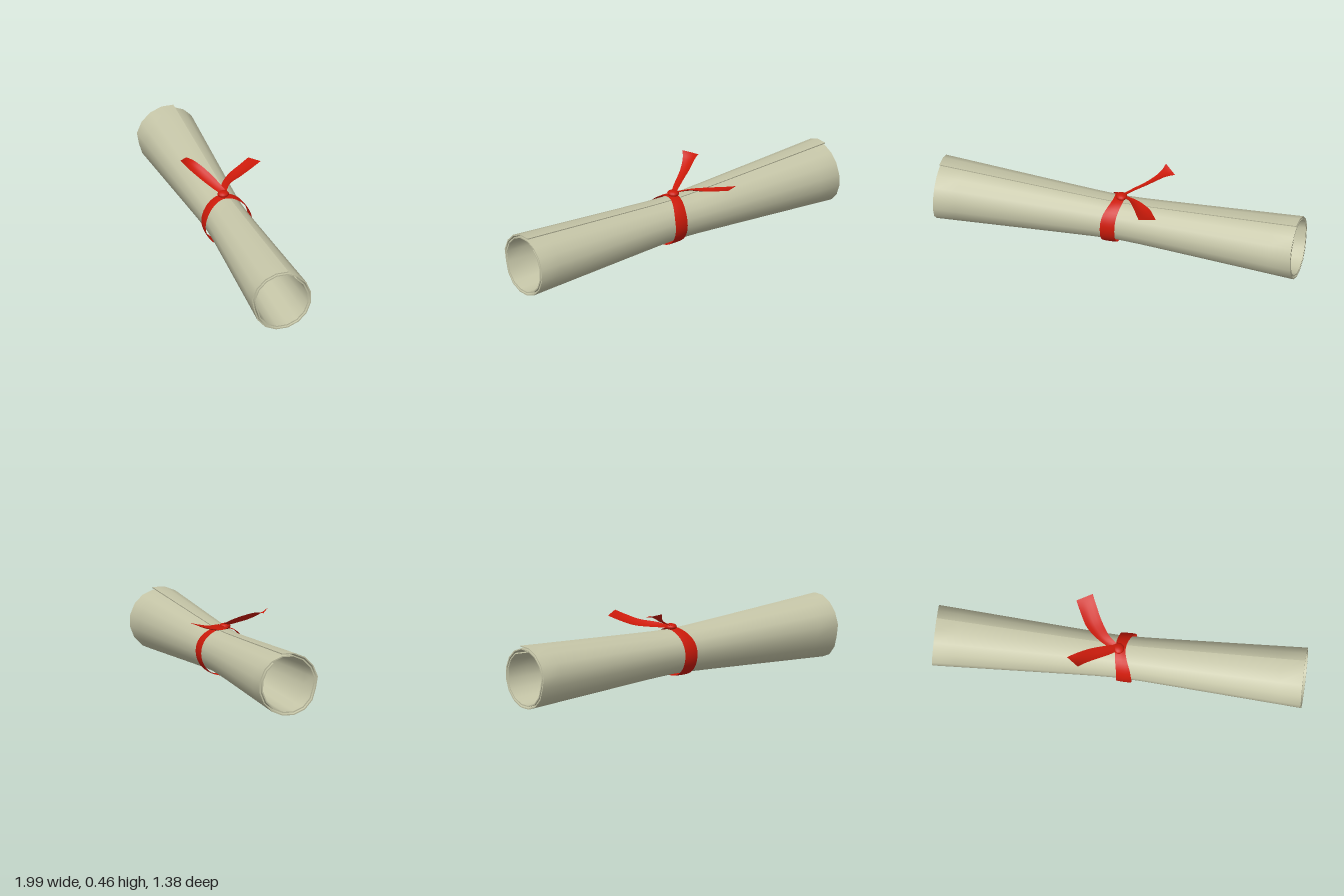
import * as THREE from 'three';

const paper = new THREE.MeshStandardMaterial({ color: 0xc6c6a8, side: THREE.DoubleSide });
const red = new THREE.MeshStandardMaterial({ color: 0xcc1a0a, side: THREE.DoubleSide });

// Smooth surface through a grid of points: point(i, j), i = 0..m, j = 0..n
function sheet(name, material, m, n, point) {
  const pos = [], index = [];
  for (let i = 0; i <= m; i++) for (let j = 0; j <= n; j++) pos.push(...point(i, j));
  for (let i = 0; i < m; i++) {
    for (let j = 0; j < n; j++) {
      const a = i * (n + 1) + j, b = a + n + 1;
      index.push(a, b, a + 1, b, b + 1, a + 1);
    }
  }
  const g = new THREE.BufferGeometry();
  g.setAttribute('position', new THREE.Float32BufferAttribute(pos, 3));
  g.setIndex(index);
  g.computeVertexNormals();
  const mesh = new THREE.Mesh(g, material);
  mesh.name = name;
  return mesh;
}

const HALF = 1.051, CENTRE_Y = 0.188, THICK = 0.007, PITCH = 0.015;
const START = -0.2, TURN = Math.PI * 2, SIDES = 16, STEPS = SIDES * 2 - 1;

// The roll is pinched at its middle
const pinch = x => 0.7 + 0.3 * (Math.sqrt(x * x + 0.006) - 0.077) / (HALF - 0.077);

// Point on the spiral; a runs from the top over the front and inward
function rollPoint(x, step, inset) {
  const a = START + (step / SIDES) * TURN;
  const local = step % SIDES;
  const crease = local === 5 ? 0.012 : local === 6 ? 0.005 : 0;
  const r = (0.187 - PITCH * step / SIDES - inset - crease) * pinch(x);
  return [x, CENTRE_Y + r * Math.cos(a), r * Math.sin(a)];
}

function makeRoll() {
  const roll = new THREE.Group();
  roll.name = 'paperRoll';
  const rows = 16, xAt = i => -HALF + 2 * HALF * i / rows;
  roll.add(sheet('outerFace', paper, rows, STEPS, (i, j) => rollPoint(xAt(i), j, 0)));
  roll.add(sheet('innerFace', paper, rows, STEPS, (i, j) => rollPoint(xAt(i), STEPS - j, THICK)));
  // Thin rims at both ends and along both free edges
  for (const x of [-HALF, HALF]) {
    roll.add(sheet('endRim', paper, 1, STEPS, (i, j) => rollPoint(x, j, i * THICK)));
  }
  for (const step of [0, STEPS]) {
    roll.add(sheet('freeEdge', paper, rows, 1, (i, j) => rollPoint(xAt(i), step, j * THICK)));
  }
  return roll;
}

// Band around the roll, drawn in narrower and sideways at the knot
function makeBand() {
  const n = 40;
  return sheet('ribbonBand', red, n, 4, (i, j) => {
    const a = TURN * i / n, top = Math.pow(Math.max(0, Math.cos(a)), 3);
    const x = 0.036 - 0.034 * top + (j / 4 - 0.5) * (0.085 - 0.025 * top);
    const bulge = 0.003 * Math.sin(Math.PI * j / 4);
    const r = 0.1365 + bulge + 0.003 * top + Math.max(0, Math.abs(x) - 0.03) * 0.04;
    return [x, CENTRE_Y + r * Math.cos(a), r * Math.sin(a)];
  });
}

// Loose ribbon end through two edge curves, bowed across its width
function makeTail(name, left, right, bow) {
  const curve = pts => new THREE.CatmullRomCurve3(pts.map(p => new THREE.Vector3(...p)));
  const a = curve(left), b = curve(right), n = 20;
  return sheet(name, red, n, 4, (i, j) => {
    const p = a.getPoint(i / n).lerp(b.getPoint(i / n), j / 4);
    p.y += bow * Math.sin(Math.PI * j / 4) * Math.sin(Math.PI * i / n);
    return p.toArray();
  });
}

export function createModel() {
  const model = new THREE.Group();
  model.name = 'tiedScroll';

  // Roll and band lie diagonally
  const scroll = new THREE.Group();
  scroll.name = 'scroll';
  scroll.rotation.y = -0.537;
  scroll.add(makeRoll(), makeBand());
  model.add(scroll);

  // Knot
  const knot = new THREE.Mesh(new THREE.SphereGeometry(1, 14, 10), red);
  knot.name = 'knot';
  knot.scale.set(0.032, 0.018, 0.034);
  knot.position.set(-0.01, 0.337, 0);
  model.add(knot);

  // Ribbon ends: one to the back, one rising to the side
  model.add(makeTail('backTail',
    [[-0.03, 0.335, 0.01], [-0.09, 0.345, -0.08], [-0.125, 0.355, -0.18], [-0.125, 0.375, -0.27], [-0.12, 0.395, -0.34]],
    [[0.0, 0.34, -0.01], [-0.03, 0.362, -0.08], [-0.035, 0.37, -0.18], [-0.028, 0.39, -0.27], [-0.022, 0.408, -0.335]],
    -0.012));
  model.add(makeTail('sideTail',
    [[0.0, 0.335, 0.012], [-0.08, 0.362, 0.022], [-0.18, 0.4, 0.028], [-0.25, 0.44, 0.04], [-0.285, 0.475, 0.055]],
    [[0.0, 0.345, -0.02], [-0.08, 0.385, -0.028], [-0.18, 0.425, -0.035], [-0.26, 0.45, -0.032], [-0.315, 0.452, -0.03]],
    -0.01));
  return model;
}
